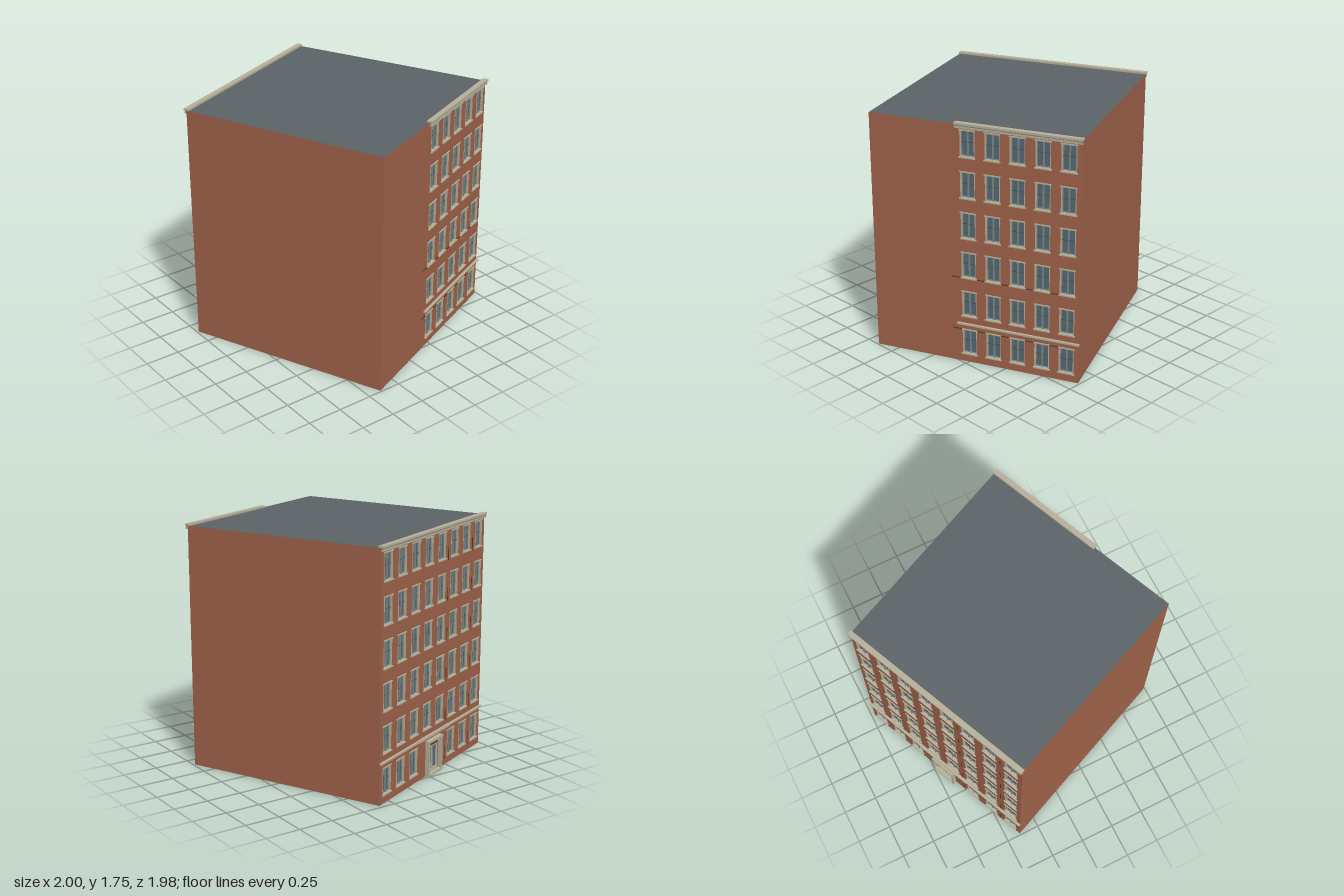
import * as THREE from 'three';

const HEIGHT = 1.74;
const mat = (color, side = THREE.FrontSide) => new THREE.MeshStandardMaterial({ color, side });
const brick = mat(0xa0634a, THREE.DoubleSide);
const darkBrick = mat(0x5c3527);
const roofGrey = mat(0x5c6468, THREE.DoubleSide);
const stone = mat(0xb8b09a);
const frameGrey = mat(0x7d8a85);
const barGrey = mat(0x45535a);
const glass = mat(0x566a74, THREE.DoubleSide);

// Ground corners [x, z]: front right, front left, back left, back right
const A = [-0.4, 0.99], B = [0.987, 0.405], C = [0.355, -0.975], D = [-0.988, -0.395];

const WIN_W = 0.104, WIN_H = 0.185, FIRST_Y = 0.155, STOREY = 0.291, DEPTH = 0.018;
const FLOORS = [0, 1, 2, 3, 4, 5].map((i) => FIRST_Y + i * STOREY);

function rect(Type, x0, y0, x1, y1) {
  const r = new Type();
  r.moveTo(x0, y0).lineTo(x1, y0).lineTo(x1, y1).lineTo(x0, y1).closePath();
  return r;
}

function box(parent, name, material, w, h, d, x, y, z) {
  const m = new THREE.Mesh(new THREE.BoxGeometry(w, h, d), material);
  m.name = name;
  m.position.set(x, y, z);
  parent.add(m);
  return m;
}

// Rectangular surround with an opening, from z = 0 forward by depth
function surround(w, h, t, depth) {
  const s = rect(THREE.Shape, -w / 2, -h / 2, w / 2, h / 2);
  s.holes.push(rect(THREE.Path, -w / 2 + t, -h / 2 + t, w / 2 - t, h / 2 - t));
  return new THREE.ExtrudeGeometry(s, { depth, bevelEnabled: false });
}

// One window: recessed glass, reveal, two sashes, sill and lintel
function makeWindow() {
  const g = new THREE.Group();
  g.name = 'window';
  const pane = new THREE.Mesh(new THREE.PlaneGeometry(WIN_W, WIN_H), glass);
  pane.name = 'glass';
  pane.position.z = -DEPTH;
  const reveal = new THREE.Mesh(surround(WIN_W + 0.002, WIN_H + 0.002, 0.005, DEPTH + 0.002), stone);
  reveal.name = 'reveal';
  reveal.position.z = -DEPTH;
  g.add(pane, reveal);
  const sashGeo = surround(WIN_W / 2 - 0.005, WIN_H - 0.01, 0.005, 0.006);
  for (const s of [-1, 1]) {
    const sash = new THREE.Mesh(sashGeo, frameGrey);
    sash.name = 'sash';
    sash.position.set(s * (WIN_W / 4 - 0.0025), 0, -DEPTH);
    g.add(sash);
  }
  box(g, 'transom', barGrey, WIN_W - 0.012, 0.005, 0.008, 0, 0.01, -DEPTH + 0.003);
  box(g, 'mullion', frameGrey, 0.008, WIN_H - 0.01, 0.012, 0, 0, -DEPTH + 0.006);
  box(g, 'sill', stone, WIN_W + 0.016, 0.009, 0.014, 0, -WIN_H / 2 - 0.002, 0.003);
  box(g, 'lintel', stone, WIN_W + 0.012, 0.008, 0.009, 0, WIN_H / 2 + 0.002, 0.002);
  return g;
}

// Wall from corner p to corner q, local x along it and local z outward
function makeWall(name, p, q, columns = [], skip = () => false, door = null) {
  const g = new THREE.Group();
  g.name = name;
  const dx = q[0] - p[0], dz = q[1] - p[1], length = Math.hypot(dx, dz);
  g.position.set(p[0], 0, p[1]);
  g.rotation.y = Math.atan2(-dz, dx);
  const shape = rect(THREE.Shape, 0, 0, length, HEIGHT);
  const win = makeWindow();
  FLOORS.forEach((y, row) => columns.forEach((x, col) => {
    if (skip(row, col)) return;
    shape.holes.push(rect(THREE.Path, x - WIN_W / 2, y - WIN_H / 2, x + WIN_W / 2, y + WIN_H / 2));
    const w = win.clone();
    w.position.set(x, y, 0);
    g.add(w);
  }));
  if (door) shape.holes.push(rect(THREE.Path, door.x - door.w / 2, 0.015, door.x + door.w / 2, door.h));
  const wall = new THREE.Mesh(new THREE.ShapeGeometry(shape), brick);
  wall.name = 'brickwork';
  g.add(wall);
  g.userData.length = length;
  return g;
}

// Stepped cornice at the roof and a belt course above the ground floor
function addTrim(wall, x0, x1) {
  const w = x1 - x0, mid = (x0 + x1) / 2;
  box(wall, 'corniceTop', stone, w, 0.014, 0.038, mid, 1.747, 0);
  box(wall, 'corniceMiddle', frameGrey, w - 0.008, 0.01, 0.012, mid, 1.735, 0.006);
  box(wall, 'corniceLower', stone, w - 0.004, 0.012, 0.016, mid, 1.724, 0.008);
  box(wall, 'beltCourse', stone, w, 0.012, 0.018, mid, 0.294, 0.009);
}

// Entrance: portal of posts and head, double glazed door, step
function addEntrance(wall, door) {
  const g = new THREE.Group();
  g.name = 'entrance';
  g.position.x = door.x;
  const half = 0.1;
  for (const s of [-1, 1]) {
    box(g, 'portalPost', stone, 0.014, 0.25, 0.03, s * (half - 0.007), 0.125, 0.015);
    box(g, 'doorLeafGlass', glass, 0.062, 0.16, 0.006, s * 0.036, 0.115, -0.012);
    const leaf = new THREE.Mesh(surround(0.07, 0.18, 0.007, 0.012), stone);
    leaf.name = 'doorLeafFrame';
    leaf.position.set(s * 0.036, 0.115, -0.012);
    g.add(leaf);
  }
  box(g, 'portalHead', stone, half * 2, 0.016, 0.034, 0, 0.255, 0.017);
  box(g, 'doorHead', darkBrick, door.w, 0.02, 0.012, 0, door.h - 0.008, -0.005);
  box(g, 'doorStep', stone, half * 2, 0.014, 0.03, 0, 0.007, 0.015);
  box(g, 'entranceBand', stone, 0.45, 0.016, 0.022, 0, 0.294, 0.011);
  wall.add(g);
}

export function createModel() {
  const model = new THREE.Group();
  model.name = 'brickBuilding';

  // Front: five window columns towards one end
  const front = makeWall('frontWall', A, B, [0, 1, 2, 3, 4].map((i) => 0.712 + i * 0.1765));
  addTrim(front, 0.625, front.userData.length + 0.006);
  for (const y of [0.25, 0.642]) {
    for (let i = 0; i < 5; i++) {
      box(front, 'brickLedge', darkBrick, 0.07, 0.006, 0.006, 0.624 + i * 0.1765, y, 0.002);
    }
  }

  // Back: eight window columns with a central entrance
  const backLength = Math.hypot(D[0] - C[0], D[1] - C[1]);
  const pitch = backLength / 8;
  const door = { x: backLength / 2, w: 0.155, h: 0.225 };
  const back = makeWall('backWall', C, D, [...Array(8).keys()].map((i) => (i + 0.5) * pitch),
    (row, col) => row === 0 && (col === 3 || col === 4), door);
  addTrim(back, -0.006, backLength + 0.004);
  addEntrance(back, door);
  for (const col of [5, 7]) {
    for (const y of FLOORS) {
      box(back, 'wallJoint', darkBrick, 0.006, 0.1, 0.004, col * pitch, y - 0.06, 0.001);
    }
  }

  // Plain side walls
  model.add(front, back, makeWall('leftWall', B, C), makeWall('rightWall', D, A));

  // Flat roof
  const outline = new THREE.Shape([A, B, C, D].map(([x, z]) => new THREE.Vector2(x, -z)));
  const roof = new THREE.Mesh(new THREE.ShapeGeometry(outline), roofGrey);
  roof.name = 'roof';
  roof.rotation.x = -Math.PI / 2;
  roof.position.y = HEIGHT;
  model.add(roof);
  return model;
}
